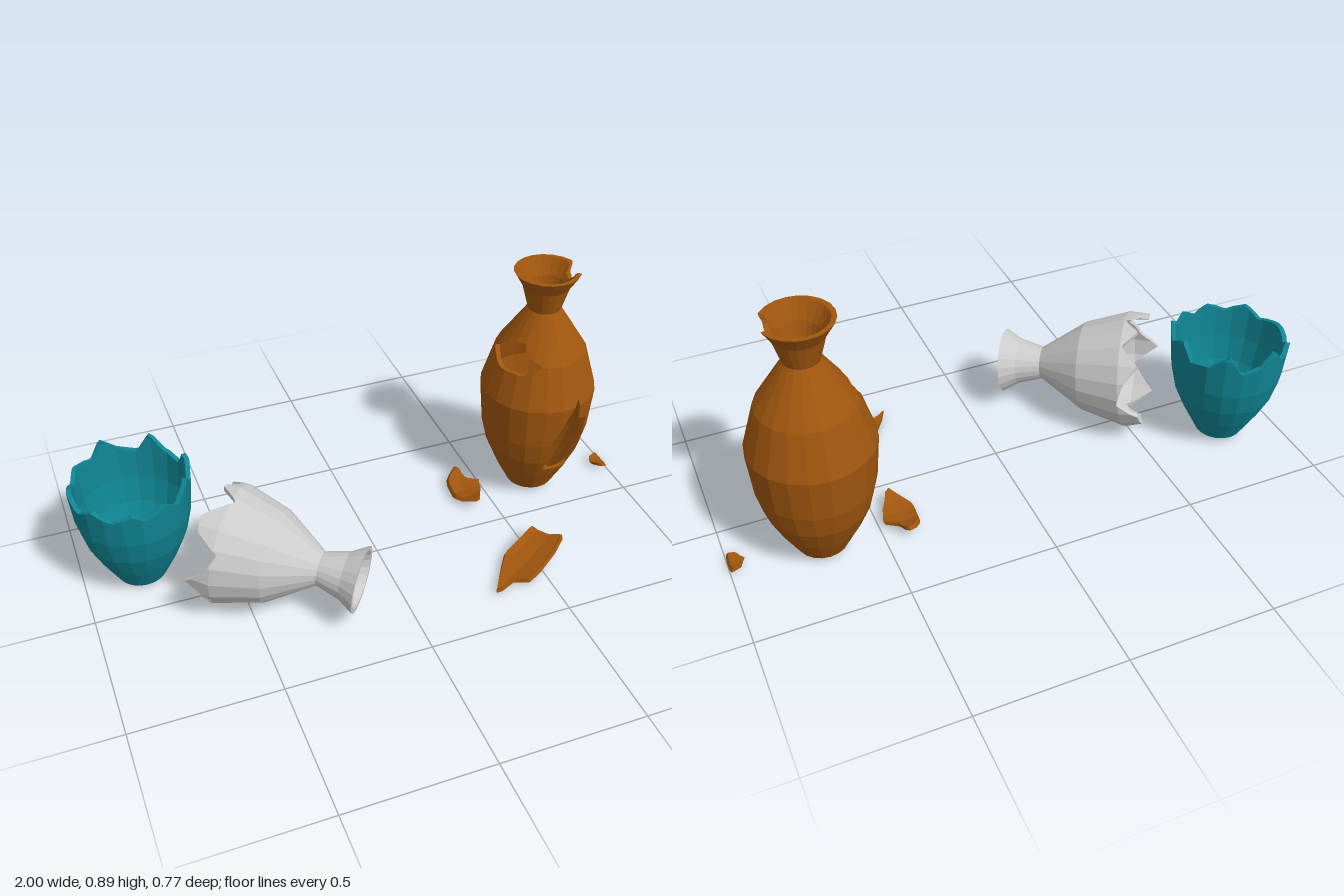
import * as THREE from 'three';

const SIDES = 20, SUB = 6, ROW = 0.015, WALL = 0.016, RAD = Math.PI / 180;
const RIM = 0.895, BASE = 0.02;

// Outer vase profile [radius, height]; it runs past the rim and is trimmed there
const PROFILE = [[0.085, BASE], [0.135, 0.115], [0.172, 0.2], [0.193, 0.29], [0.206, 0.445],
  [0.16, 0.6], [0.058, 0.755], [0.082, 0.84], [0.139, 0.935]];

// Broken areas as outlines of [degrees round the vase, height]
const FRONT_HOLE = [[-11, 0.155], [20, 0.145], [40, 0.13], [37, 0.36], [22, 0.385], [18.5, 0.475], [-8, 0.3]];
const SIDE_HOLE = [[-22, 0.605], [-45, 0.625], [-56, 0.665], [-85, 0.65], [-116, 0.605], [-80, 0.56], [-45, 0.565]];
const RIM_CHIP = [[55, 0.92], [60, 0.875], [80, 0.853], [98, 0.865], [107, 0.92]];

// Jagged break lines, [degrees, height]
const TEAL_BREAK = [[-180, 0.41], [-165, 0.455], [-152, 0.4], [-128, 0.42], [-115, 0.385], [-98, 0.41], [-84, 0.405],
  [-66, 0.385], [-48, 0.42], [-28, 0.39], [-8, 0.415], [6, 0.385], [24, 0.42], [40, 0.385], [58, 0.455], [70, 0.4],
  [95, 0.46], [108, 0.395], [130, 0.41], [147, 0.46], [160, 0.39], [180, 0.41]];
const GREY_BREAK = [[-180, 0.38], [-160, 0.44], [-142, 0.39], [-122, 0.46], [-100, 0.37], [-84, 0.38], [-68, 0.46],
  [-45, 0.42], [-30, 0.36], [-8, 0.45], [12, 0.4], [24, 0.37], [45, 0.46], [62, 0.39], [85, 0.44], [102, 0.37],
  [120, 0.38], [138, 0.45], [158, 0.43], [180, 0.38]];

const lerp = THREE.MathUtils.lerp;

function sample(pairs, t) {
  let i = 1;
  while (i < pairs.length - 1 && pairs[i][0] < t) i++;
  const [a, p] = pairs[i - 1], [b, q] = pairs[i];
  return lerp(p, q, (t - a) / (b - a));
}

// Signed distance to an outline: positive inside
function inside(outline, t, y) {
  const k = 0.17 * RAD;
  let best = Infinity, within = false;
  outline.forEach(([ta, ya], i) => {
    const [tb, yb] = outline[(i + 1) % outline.length];
    const dx = (tb - ta) * k, dy = yb - ya, px = (t - ta) * k, py = y - ya;
    const s = THREE.MathUtils.clamp((px * dx + py * dy) / (dx * dx + dy * dy), 0, 1);
    best = Math.min(best, Math.hypot(px - s * dx, py - s * dy));
    if (ya > y !== yb > y && t < ta + ((y - ya) / (yb - ya)) * (tb - ta)) within = !within;
  });
  return within ? best : -best;
}

// Point on the faceted vase wall
function wallPoint(t, y, inset) {
  const r = sample(PROFILE.map(([a, b]) => [b, a]), y) - inset;
  const step = 360 / SIDES, k = Math.floor(t / step + 1e-6), f = t / step - k;
  const a = k * step * RAD, b = (k + 1) * step * RAD;
  return [r * lerp(Math.sin(a), Math.sin(b), f), y, r * lerp(Math.cos(a), Math.cos(b), f)];
}

// Thick vase wall, kept only where field(t, y) > 0, with its broken edges closed
function shell(field) {
  const pos = [], rows = [BASE];
  for (let i = 1; i < PROFILE.length; i++) {
    const y0 = PROFILE[i - 1][1], y1 = PROFILE[i][1], n = Math.ceil((y1 - y0) / ROW);
    for (let j = 1; j <= n; j++) rows.push(lerp(y0, y1, j / n));
  }
  const out = (p) => wallPoint(p[0], p[1], 0), inn = (p) => wallPoint(p[0], p[1], WALL);
  const tri = (a, b, c) => pos.push(...a, ...b, ...c);

  function clip(corners) {
    const kept = [], cut = {};
    corners.forEach((p, i) => {
      const q = corners[(i + 1) % 3];
      if (p[2] > 0) kept.push(p);
      if (p[2] > 0 !== q[2] > 0) {
        const s = p[2] / (p[2] - q[2]);
        const m = [lerp(p[0], q[0], s), lerp(p[1], q[1], s)];
        kept.push(m);
        cut[p[2] > 0 ? 'exit' : 'enter'] = m;
      }
    });
    for (let i = 2; i < kept.length; i++) {
      tri(out(kept[0]), out(kept[i - 1]), out(kept[i]));
      tri(inn(kept[0]), inn(kept[i]), inn(kept[i - 1]));
    }
    if (cut.exit) {
      const p = cut.exit, q = cut.enter;
      tri(out(p), inn(p), inn(q));
      tri(out(p), inn(q), out(q));
    }
  }

  const dt = 360 / (SIDES * SUB);
  for (let i = 0; i < SIDES * SUB; i++) {
    for (let j = 1; j < rows.length; j++) {
      const t0 = -180 + i * dt, t1 = t0 + dt;
      const [a, b, c, d] = [[t0, rows[j - 1]], [t1, rows[j - 1]], [t1, rows[j]], [t0, rows[j]]]
        .map(([t, y]) => [t, y, field(t, y)]);
      clip([a, b, c]);
      clip([a, c, d]);
    }
  }
  const geo = new THREE.BufferGeometry();
  geo.setAttribute('position', new THREE.Float32BufferAttribute(pos, 3));
  geo.computeVertexNormals();
  return geo;
}

export function createModel() {
  const model = new THREE.Group();
  const paint = (color) => new THREE.MeshStandardMaterial({ color, flatShading: true });
  const brown = paint(0xa0560e), teal = paint(0x0f8593), grey = paint(0xcccccc);

  function add(parent, name, geo, mat) {
    const mesh = new THREE.Mesh(geo, mat);
    mesh.name = name;
    parent.add(mesh);
    return mesh;
  }

  function vase(name, mat, field, hasFloor) {
    const group = new THREE.Group();
    group.name = name;
    add(group, name + 'Wall', shell(field), mat);
    if (hasFloor) {
      const floor = new THREE.CylinderGeometry(0.085, 0.085, WALL, SIDES);
      add(group, name + 'Floor', floor.translate(0, BASE + WALL / 2, 0), mat);
    }
    model.add(group);
    return group;
  }

  // Standing vase with two holes and a chipped rim
  const holes = [FRONT_HOLE, SIDE_HOLE, RIM_CHIP];
  vase('standingVase', brown, (t, y) => Math.min(RIM - y, ...holes.map((h) => -inside(h, t, y))), true)
    .position.set(0.69, 0, -0.185);

  // Lower half of a broken vase
  vase('brokenVaseBase', teal, (t, y) => sample(TEAL_BREAK, t) - y, true).position.set(-0.8, 0, -0.185);

  // Upper half of a broken vase, lying on its side
  const top = vase('fallenVaseTop', grey, (t, y) => Math.min(RIM - y, y - sample(GREY_BREAK, t)), false);
  const axis = new THREE.Vector3(0.79, -0.1, 0.61).normalize();
  top.quaternion.setFromUnitVectors(new THREE.Vector3(0, 1, 0), axis);
  top.position.set(-0.165, 0.17, 0.29).addScaledVector(axis, -RIM);

  // Shards from the holes, lying hollow side up
  function shard(name, outline, facing, lean, spin, x, y, z) {
    const geo = shell((t, h) => Math.min(RIM - h, inside(outline, t, h)));
    geo.rotateY(-facing * RAD).rotateX((90 + lean) * RAD).rotateY(spin * RAD);
    geo.computeBoundingBox();
    const box = geo.boundingBox, mid = box.getCenter(new THREE.Vector3());
    geo.translate(x - mid.x, y - box.min.y, z - mid.z);
    add(model, name, geo, brown);
  }
  shard('largeShard', FRONT_HOLE, 14, -5, -60, 0.457, 0.002, 0.243);
  shard('curvedShard', SIDE_HOLE, -68, 25, 90, 0.427, 0.01, -0.18);
  shard('rimShard', RIM_CHIP, 81, -31, 90, 0.972, 0.01, -0.168);

  return model;
}
